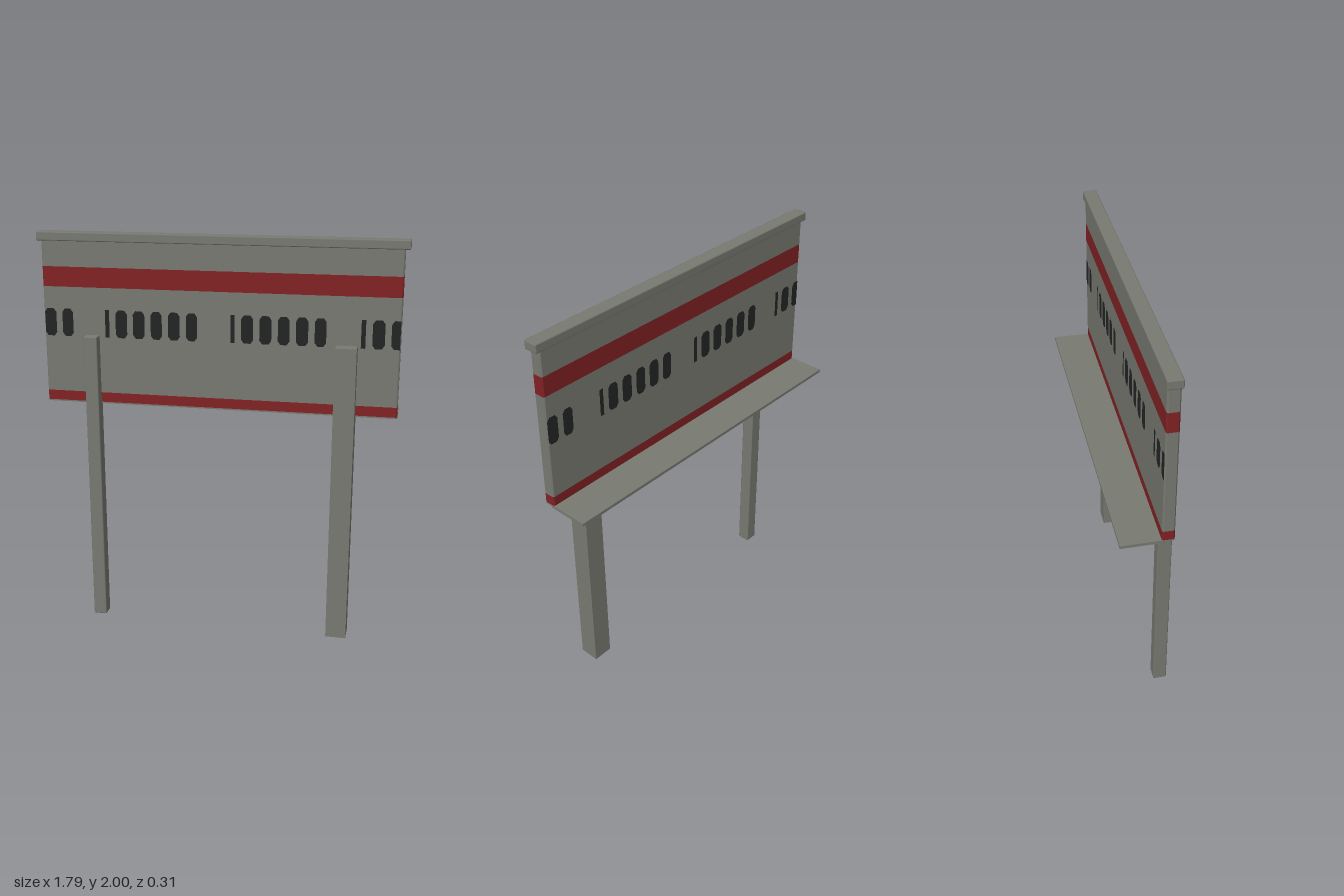
import * as THREE from 'three';
import { RoundedBoxGeometry } from 'three/addons/geometries/RoundedBoxGeometry.js';

const mat = (name, color) => {
  const m = new THREE.MeshStandardMaterial({ color });
  m.name = name;
  return m;
};

export function createModel() {
  const grey = mat('grey', 0x787971);
  const red = mat('red', 0x812224);
  const black = mat('black', 0x232424);
  const root = new THREE.Group();
  root.name = 'signBoard';

  const add = (name, geometry, material, parent = root) => {
    const mesh = new THREE.Mesh(geometry, material);
    mesh.name = name;
    parent.add(mesh);
    return mesh;
  };

  // Box given by its limits, with softened edges if bevel > 0
  const block = (name, [x0, x1], [y0, y1], [z0, z1], bevel = 0) => {
    const size = [x1 - x0, y1 - y0, z1 - z0];
    const geo = bevel ? new RoundedBoxGeometry(...size, 1, bevel) : new THREE.BoxGeometry(...size);
    add(name, geo, grey).position.set((x0 + x1) / 2, (y0 + y1) / 2, (z0 + z1) / 2);
  };

  // Board: stacked horizontal bands with chamfered vertical corners
  const W = 0.873, zBack = 0.03, zFront = 0.088, c = 0.006;
  const plan = new THREE.Shape([
    [-W + c, zBack], [W - c, zBack], [W, zBack + c], [W, zFront - c],
    [W - c, zFront], [-W + c, zFront], [-W, zFront - c], [-W, zBack + c],
  ].map(([x, z]) => new THREE.Vector2(x, -z)));
  const bands = [
    ['boardFoot', 1.153, 1.16, grey], ['lowerStripe', 1.16, 1.209, red],
    ['boardMiddle', 1.209, 1.735, grey], ['upperStripe', 1.735, 1.833, red],
    ['boardTop', 1.833, 1.957, grey],
  ];
  for (const [name, y0, y1, material] of bands) {
    const geo = new THREE.ExtrudeGeometry(plan, { depth: y1 - y0, bevelEnabled: false });
    geo.rotateX(-Math.PI / 2);
    add(name, geo, material).position.y = y0;
  }

  // Cap rail, rear shelf and the two unequal posts
  block('capRail', [-0.897, 0.897], [1.956, 2], [0.021, 0.092], 0.006);
  block('rearShelf', [-W, W], [1.145, 1.16], [-0.156, 0.045]);
  block('slimPost', [-0.661, -0.593], [0, 1.5], [0.069, 0.137], 0.006);
  block('widePost', [0.572, 0.674], [0, 1.5], [0.055, 0.157]);

  // Dark slots: a repeating run of one sliver and five chamfered slots
  const y0 = 1.49, y1 = 1.627;
  const slotRun = [[0, 0.021], [0.053, 0.111], [0.141, 0.199], [0.23, 0.286], [0.317, 0.375], [0.406, 0.461]];
  const slotShape = (a, b, cutA, cutB) => {
    const k = 0.013, h = 0.018;
    const left = cutA ? [[a + k, y1], [a, y1 - h], [a, y0 + h], [a + k, y0]] : [[a, y1], [a, y0]];
    const right = cutB ? [[b - k, y0], [b, y0 + h], [b, y1 - h], [b - k, y1]] : [[b, y0], [b, y1]];
    return new THREE.Shape([...left, ...right].map((p) => new THREE.Vector2(...p)));
  };
  const shapes = [];
  for (let run = -2; run < 2; run++) {
    slotRun.forEach(([s, e], i) => {
      const start = 0.063 + run * 0.6245 + s, end = start + e - s;
      const a = Math.max(start, -W + 0.003), b = Math.min(end, W - 0.003);
      if (b - a > 0.005) shapes.push(slotShape(a, b, i > 0 && a === start, i > 0 && b === end));
    });
  }
  const slots = new THREE.ShapeGeometry(shapes);
  add('frontSlots', slots, black).position.z = zFront + 0.0015;
  const back = add('backSlots', slots, black);
  back.position.z = zBack - 0.0015;
  back.rotation.y = Math.PI;

  return root;
}
